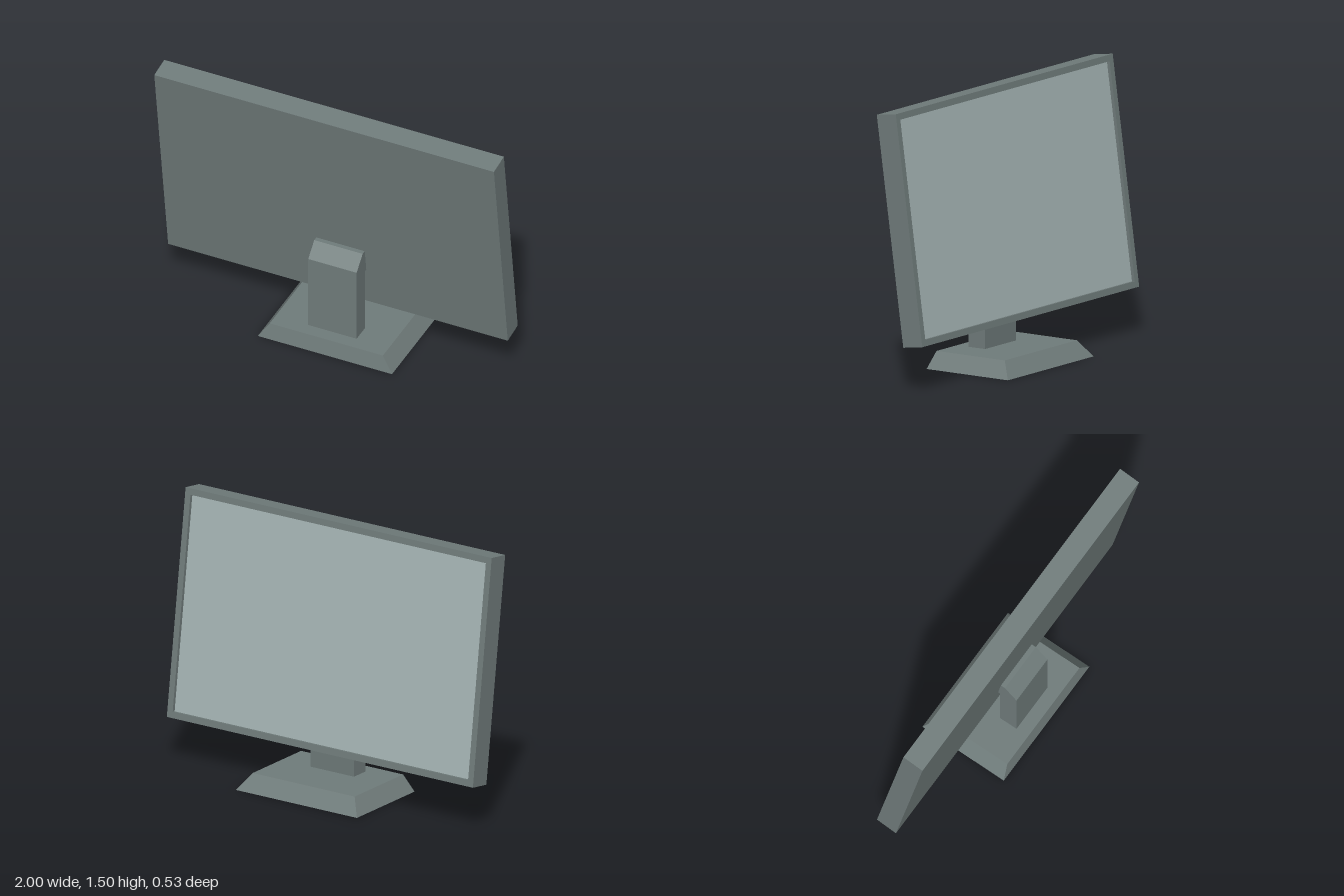
import * as THREE from 'three';

const bodyMaterial = new THREE.MeshStandardMaterial({ color: 0x6f7b7a });
const screenMaterial = new THREE.MeshStandardMaterial({ color: 0xa5b4b4 });

function addMesh(parent, name, geometry, material = bodyMaterial) {
  const mesh = new THREE.Mesh(geometry, material);
  mesh.name = name;
  parent.add(mesh);
  return mesh;
}

function rectangle(PathType, w, h) {
  return new PathType([[-1, -1], [1, -1], [1, 1], [-1, 1]]
    .map(([x, y]) => new THREE.Vector2(x * w / 2, y * h / 2)));
}

// Box whose top and bottom have their own x and z limits
function taperedBlock(height, bottom, top) {
  const geometry = new THREE.BoxGeometry(1, 1, 1);
  const p = geometry.attributes.position;
  for (let i = 0; i < p.count; i++) {
    const isTop = p.getY(i) > 0;
    const { x, z } = isTop ? top : bottom;
    p.setXYZ(i, x[p.getX(i) > 0 ? 1 : 0], isTop ? height : 0, z[p.getZ(i) > 0 ? 1 : 0]);
  }
  geometry.computeVertexNormals();
  return geometry;
}

export function createModel() {
  const monitor = new THREE.Group();
  monitor.name = 'monitor';

  // Bevelled foot
  addMesh(monitor, 'base', taperedBlock(0.09,
    { x: [-0.355, 0.435], z: [-0.265, 0.265] },
    { x: [-0.294, 0.372], z: [-0.2, 0.245] }));

  // Upright with a chamfered head that reaches into the panel; profile is (z, y)
  const profile = new THREE.Shape([
    [0.063, 0.09], [0.17, 0.09], [0.17, 0.53], [0.095, 0.605],
    [0.065, 0.605], [0.046, 0.47], [0.063, 0.47],
  ].map(([z, y]) => new THREE.Vector2(z, y)));
  const upright = new THREE.ExtrudeGeometry(profile, { depth: 0.285, bevelEnabled: false });
  upright.rotateY(-Math.PI / 2).translate(0.182, 0, 0);
  addMesh(monitor, 'stand', upright);

  // Tilted panel, with its screen on the -z side
  const width = 2, height = 1.257, depth = 0.125, recess = 0.02, border = 0.035;
  const panel = new THREE.Group();
  panel.name = 'panel';
  panel.position.set(0, 0.868, 0.042);
  panel.rotation.x = THREE.MathUtils.degToRad(7.9);
  monitor.add(panel);

  addMesh(panel, 'housing', new THREE.BoxGeometry(width, height, depth - recess))
    .position.z = recess / 2;

  // Raised bezel around the screen
  const bezel = rectangle(THREE.Shape, width, height);
  bezel.holes.push(rectangle(THREE.Path, width - 2 * border, height - 2 * border));
  addMesh(panel, 'bezel', new THREE.ExtrudeGeometry(bezel, { depth: recess, bevelEnabled: false }))
    .position.z = -depth / 2;

  addMesh(panel, 'screen',
    new THREE.BoxGeometry(width - 2 * border, height - 2 * border, 0.004), screenMaterial)
    .position.z = -depth / 2 + recess;

  return monitor;
}
